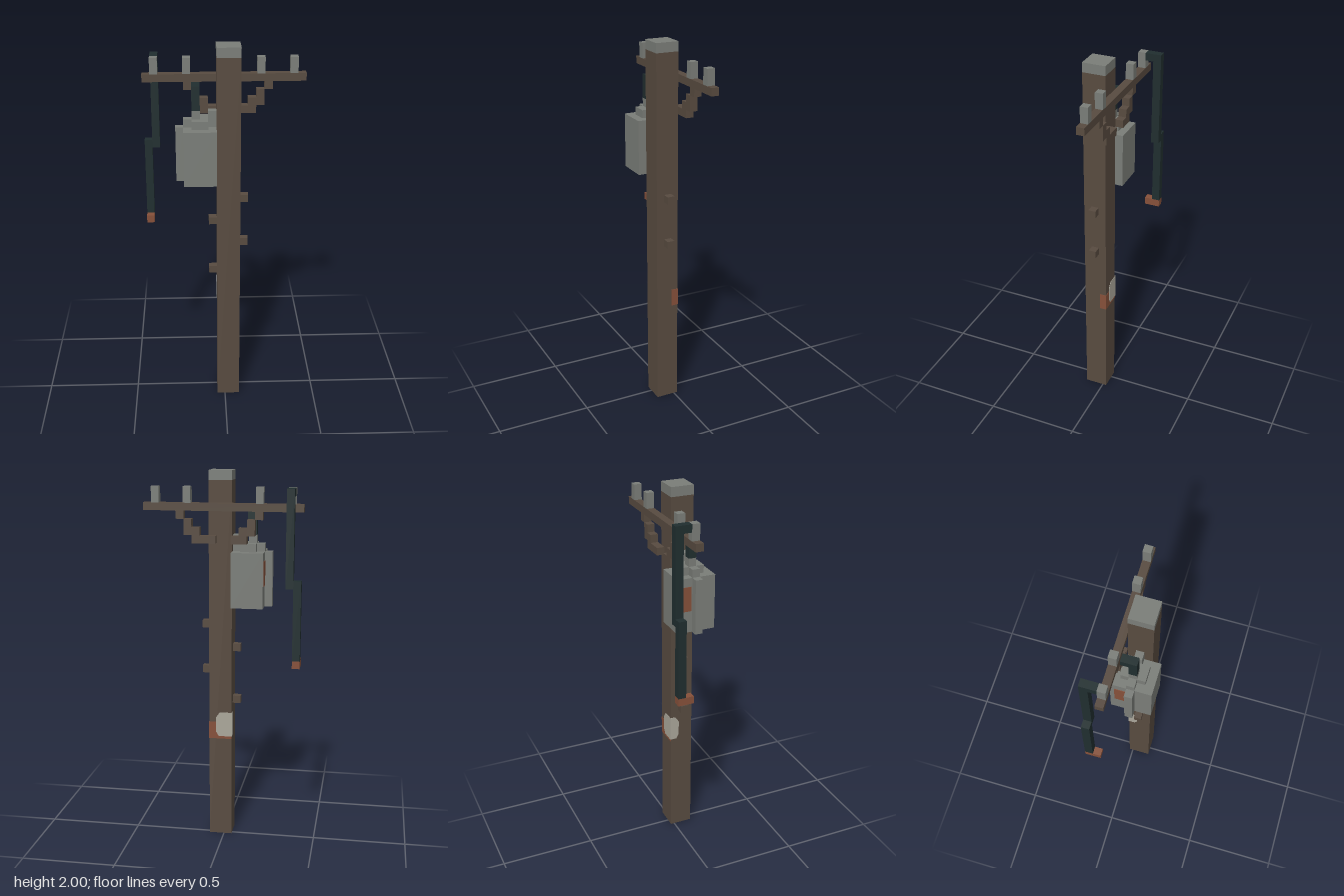
import * as THREE from 'three';

const mat = (name, color) => Object.assign(new THREE.MeshStandardMaterial({ color }), { name });

export function createModel() {
  const wood = mat('weathered wood', 0x584b40);
  const grey = mat('grey metal', 0x7a7d78);
  const cable = mat('dark cable', 0x202e2f);
  const rust = mat('rust', 0x86503a);
  const paper = mat('pale paper', 0xaaa69a);

  const model = new THREE.Group();
  model.name = 'utilityPole';

  // Box given by its minimum and maximum extents
  const box = (name, m, [x0, x1], [y0, y1], [z0, z1], parent = model) => {
    const mesh = new THREE.Mesh(new THREE.BoxGeometry(x1 - x0, y1 - y0, z1 - z0), m);
    mesh.position.set((x0 + x1) / 2, (y0 + y1) / 2, (z0 + z1) / 2);
    mesh.name = name;
    parent.add(mesh);
    return mesh;
  };
  const group = (name) => {
    const g = new THREE.Group();
    g.name = name;
    model.add(g);
    return g;
  };

  // Pole and cap
  box('pole', wood, [-0.042, 0.08], [0, 1.95], [-0.02, 0.102]);
  box('poleCap', grey, [-0.042, 0.08], [1.95, 2], [-0.02, 0.102]);

  // Crossarm with insulators
  const armZ = [-0.062, -0.021];
  box('crossarm', wood, [-0.415, 0.415], [1.797, 1.837], armZ);
  for (const x of [-0.355, -0.19, 0.187, 0.353]) {
    box('insulator', grey, [x - 0.02, x + 0.02], [1.837, 1.92], armZ);
  }

  // Stepped braces, mirrored about the pole's centre line
  const braces = group('braces');
  const steps = [
    [0.08, 0.163, 1.63, 1.67],
    [0.121, 0.163, 1.67, 1.713],
    [0.163, 0.204, 1.672, 1.755],
    [0.204, 0.246, 1.755, 1.797],
  ];
  for (const [a, b, y0, y1] of steps) {
    box('leftBraceStep', wood, [a, b], [y0, y1], armZ, braces);
    box('rightBraceStep', wood, [0.038 - b, 0.038 - a], [y0, y1], armZ, braces);
  }
  box('braceFoot', wood, [0.038, 0.08], [1.63, 1.67], armZ, braces);

  // Climbing pegs
  for (const y of [1.17, 0.92]) box('leftPeg', wood, [0.08, 0.122], [y, y + 0.04], [0.02, 0.06]);
  for (const y of [1.045, 0.755]) box('rightPeg', wood, [-0.084, -0.042], [y, y + 0.04], [0.02, 0.06]);

  // Transformer with side rib and stepped lid
  const tank = group('transformer');
  box('tank', grey, [-0.21, -0.042], [1.295, 1.585], [-0.062, 0.145], tank);
  box('tankRib', grey, [-0.25, -0.21], [1.295, 1.585], [0.02, 0.06], tank);
  box('lidCentre', grey, [-0.167, -0.084], [1.585, 1.627], [-0.02, 0.102], tank);
  box('lidRightArm', grey, [-0.21, -0.167], [1.585, 1.627], [0.02, 0.06], tank);
  box('lidLeftArm', grey, [-0.084, -0.042], [1.585, 1.67], [0.02, 0.06], tank);
  box('terminal', grey, [-0.167, -0.125], [1.627, 1.67], [0.02, 0.06], tank);
  box('tankRust', rust, [-0.213, -0.21], [1.41, 1.54], [-0.04, 0.015], tank);

  // Cable from the transformer up to the crossarm
  box('feedCable', cable, [-0.167, -0.125], [1.67, 1.755], [0.02, 0.06]);
  box('feedCableTop', cable, [-0.167, -0.125], [1.755, 1.797], [-0.021, 0.06]);

  // Loose cable hanging behind the arm, with a bare end
  const loose = group('hangingCable');
  box('cableTop', cable, [-0.375, -0.335], [1.88, 1.92], [-0.104, -0.062], loose);
  box('cableUpper', cable, [-0.375, -0.335], [1.42, 1.92], [-0.146, -0.104], loose);
  box('cableLower', cable, [-0.415, -0.375], [1.045, 1.46], [-0.146, -0.104], loose);
  box('cableEnd', rust, [-0.415, -0.375], [1.005, 1.045], [-0.146, -0.062], loose);

  // Worn notice wrapped round the back of the pole
  const notice = group('notice');
  box('noticeRustBack', rust, [-0.042, 0.081], [0.56, 0.655], [-0.022, -0.02], notice);
  box('noticeRustSide', rust, [0.08, 0.082], [0.56, 0.655], [-0.022, 0.015], notice);

  // Flat sheet with its two free corners clipped; u runs from the pole's edge
  const sheet = (width) => {
    const s = new THREE.Shape();
    [[0, 0.575], [width - 0.015, 0.575], [width, 0.6], [width, 0.68], [width - 0.02, 0.71], [0, 0.71]]
      .forEach(([u, v], i) => (i ? s.lineTo(u, v) : s.moveTo(u, v)));
    return new THREE.ExtrudeGeometry(s, { depth: 0.002, bevelEnabled: false });
  };
  const back = new THREE.Mesh(sheet(0.086), paper);
  back.name = 'noticeBack';
  back.position.set(-0.043, 0, -0.0245);
  const side = new THREE.Mesh(sheet(0.05), paper);
  side.name = 'noticeSide';
  side.rotation.y = -Math.PI / 2;
  side.position.set(-0.042, 0, -0.0245);
  notice.add(back, side);

  return model;
}
